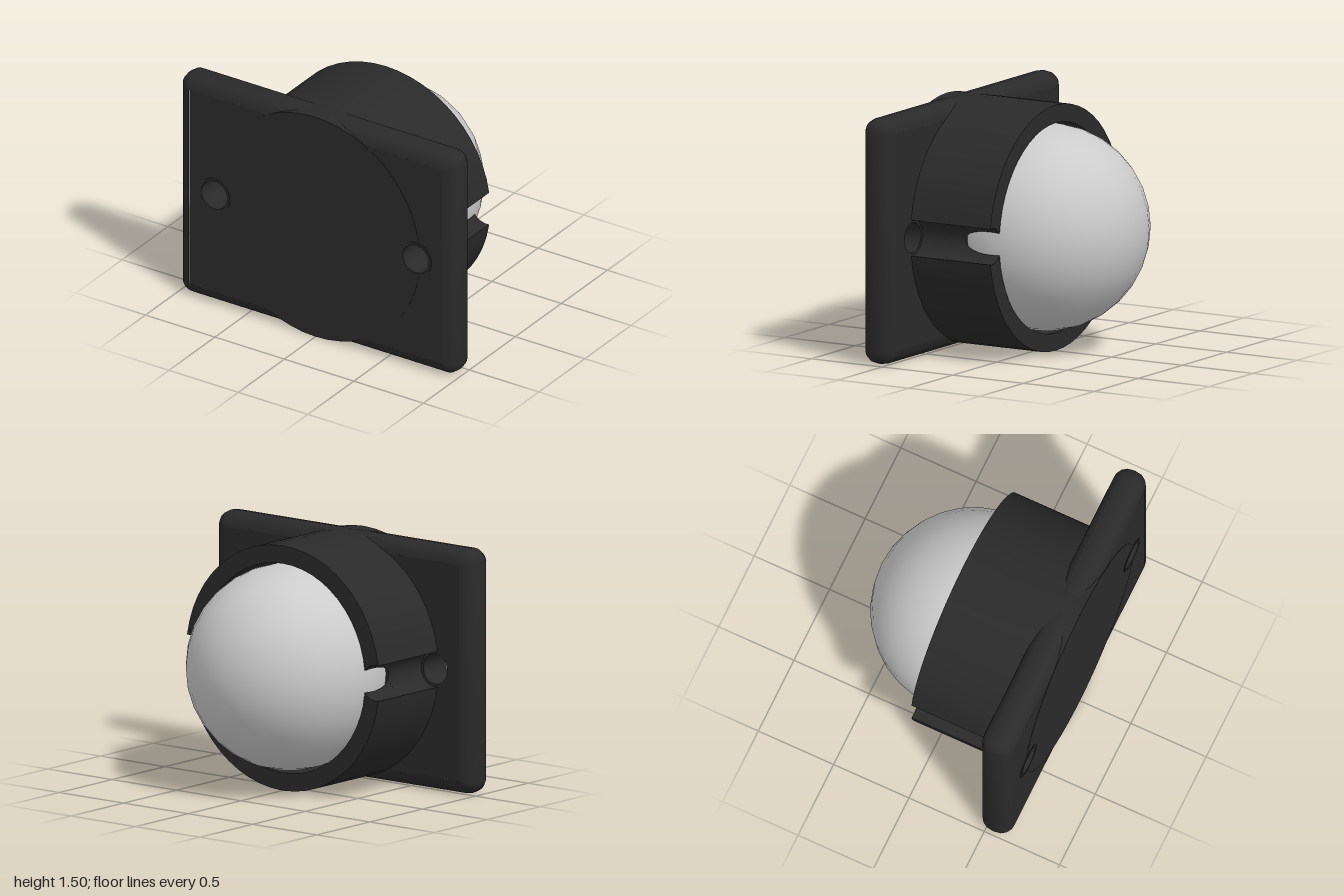
import * as THREE from 'three';
import { toCreasedNormals } from 'three/addons/utils/BufferGeometryUtils.js';

const CY = 0.75;              // height of the ball axis
const OUTER = 0.75;           // housing radius
const SCREW_X = 0.725, GROOVE = 0.11, HOLE = 0.093;
const BALL_Z = -0.04, BALL_R = 0.625, SOCKET_R = 0.644;
const RIM_Z = -0.105, SOCKET_END = 0.15;
const BACK = 0.455, FRONT = 0.66;

const dark = new THREE.MeshStandardMaterial({ color: 0x2a2a2a });
const grey = new THREE.MeshStandardMaterial({ color: 0xcccccc });

function part(name, geometry, material = dark) {
  const mesh = new THREE.Mesh(geometry, material);
  mesh.name = name;
  return mesh;
}

// Where a circle of radius r about the axis meets the right screw groove
function meet(r) {
  const x = (r * r + SCREW_X ** 2 - GROOVE ** 2) / (2 * SCREW_X);
  const y = Math.sqrt(Math.max(0, r * r - x * x));
  return { axis: Math.atan2(y, x), groove: Math.atan2(y, x - SCREW_X) };
}

function arc(out, cx, r, from, to, n) {
  for (let i = 0; i < n; i++) {
    const a = from + (to - from) * i / n;
    out.push(new THREE.Vector2(cx + r * Math.cos(a), r * Math.sin(a)));
  }
}

// Upper half of the socket wall, cut at one depth, counter-clockwise
function wallSection(z) {
  const inner = Math.sqrt(SOCKET_R ** 2 - (z - BALL_Z) ** 2);
  const o = meet(OUTER), i = meet(inner), pts = [];
  arc(pts, 0, OUTER, o.axis, Math.PI - o.axis, 24);
  arc(pts, -SCREW_X, GROOVE, Math.PI - o.groove, Math.PI - i.groove, 8);
  arc(pts, 0, inner, Math.PI - i.axis, i.axis, 24);
  arc(pts, SCREW_X, GROOVE, i.groove, o.groove, 8);
  return pts;
}

function socketWall() {
  const layers = 8, pos = [], idx = [];
  let n = 0;
  for (let k = 0; k <= layers; k++) {
    const z = RIM_Z + (SOCKET_END - RIM_Z) * k / layers;
    const pts = wallSection(z);
    n = pts.length;
    pts.forEach(p => pos.push(p.x, p.y, z));
  }
  for (let k = 0; k < layers; k++) {
    for (let i = 0; i < n; i++) {
      const a = k * n + i, b = k * n + (i + 1) % n;
      idx.push(a, b, b + n, a, b + n, a + n);
    }
  }
  // Open rim face
  for (const [a, b, c] of THREE.ShapeUtils.triangulateShape(wallSection(RIM_Z), [])) idx.push(a, c, b);
  const g = new THREE.BufferGeometry();
  g.setAttribute('position', new THREE.Float32BufferAttribute(pos, 3));
  g.setIndex(idx);
  return toCreasedNormals(g, 0.6);
}

// Solid part of the housing, a disc with a groove on each side
function housingBase() {
  const o = meet(OUTER), pts = [];
  arc(pts, 0, OUTER, o.axis, Math.PI - o.axis, 24);
  arc(pts, -SCREW_X, GROOVE, Math.PI - o.groove, o.groove - Math.PI, 16);
  arc(pts, 0, OUTER, Math.PI + o.axis, 2 * Math.PI - o.axis, 24);
  arc(pts, SCREW_X, GROOVE, 2 * Math.PI - o.groove, o.groove, 16);
  const g = new THREE.ExtrudeGeometry(new THREE.Shape(pts), {
    depth: FRONT + 0.002 - SOCKET_END, bevelEnabled: false });
  g.translate(0, 0, SOCKET_END);
  return toCreasedNormals(g, 0.6);
}

// Rounded plate border: a turned profile pulled apart into four corners
function plateBorder(r, w, h) {
  const seg = 32, half = (FRONT - BACK) / 2, profile = [];
  for (let i = 0; i <= 8; i++) {
    const a = -Math.PI / 2 + Math.PI * i / 8;
    const side = i < 4 ? -1 : i > 4 ? 1 : 0;
    profile.push(new THREE.Vector2(r * Math.cos(a) / Math.cos(Math.PI / seg),
      side * (half - r) + r * Math.sin(a)));
  }
  // Keep the ends a hair off the axis so every corner fans out
  profile[0].x = profile[8].x = 1e-4;
  const g = new THREE.LatheGeometry(profile, seg, Math.PI / seg);
  const p = g.attributes.position;
  for (let i = 0; i < p.count; i++) {
    p.setX(i, p.getX(i) + Math.sign(p.getX(i)) * w);
    p.setZ(i, p.getZ(i) + Math.sign(p.getZ(i)) * h);
  }
  g.rotateX(Math.PI / 2).translate(0, 0, (FRONT + BACK) / 2);
  return g;
}

// Flat middle of the plate with the screw holes
function plateCore(w, h) {
  const shape = new THREE.Shape([[-w, -h], [w, -h], [w, h], [-w, h]].map(c => new THREE.Vector2(...c)));
  for (const s of [-1, 1]) {
    shape.holes.push(new THREE.Path().absarc(s * SCREW_X, 0, HOLE, 0, Math.PI * 2, true));
  }
  const g = new THREE.ExtrudeGeometry(shape, { depth: FRONT - BACK, bevelEnabled: false, curveSegments: 32 });
  g.translate(0, 0, BACK);
  return toCreasedNormals(g, 0.6);
}

// Thin sleeve standing slightly proud around a screw hole
function sleeve() {
  const z0 = BACK, z1 = FRONT + 0.006;
  const pts = [[HOLE, z0], [GROOVE, z0], [GROOVE, z1], [HOLE, z1], [HOLE, z0]];
  const g = new THREE.LatheGeometry(pts.map(c => new THREE.Vector2(...c)), 32);
  return toCreasedNormals(g.rotateX(Math.PI / 2), 0.6);
}

export function createModel() {
  const model = new THREE.Group();
  model.name = 'ballCaster';

  // Mounting plate
  const r = 0.09, plate = new THREE.Group();
  plate.name = 'mountingPlate';
  plate.add(part('plateBorder', plateBorder(r, 1 - r, CY - r)));
  plate.add(part('plateCore', plateCore(1 - r, CY - r)));
  for (const s of [-1, 1]) {
    const m = part(s > 0 ? 'leftHoleSleeve' : 'rightHoleSleeve', sleeve());
    m.position.x = s * SCREW_X;
    plate.add(m);
  }

  // Housing: solid base and two socket jaws
  const housing = new THREE.Group();
  housing.name = 'housing';
  housing.add(part('housingBase', housingBase()));
  const wall = socketWall();
  const upper = part('upperSocketWall', wall);
  const lower = part('lowerSocketWall', wall);
  lower.rotation.z = Math.PI;
  housing.add(upper, lower);

  // Rolling ball
  const ball = part('ball', new THREE.SphereGeometry(BALL_R, 32, 16), grey);
  ball.position.z = BALL_Z;

  model.add(plate, housing, ball);
  for (const child of model.children) child.position.y = CY;
  return model;
}
